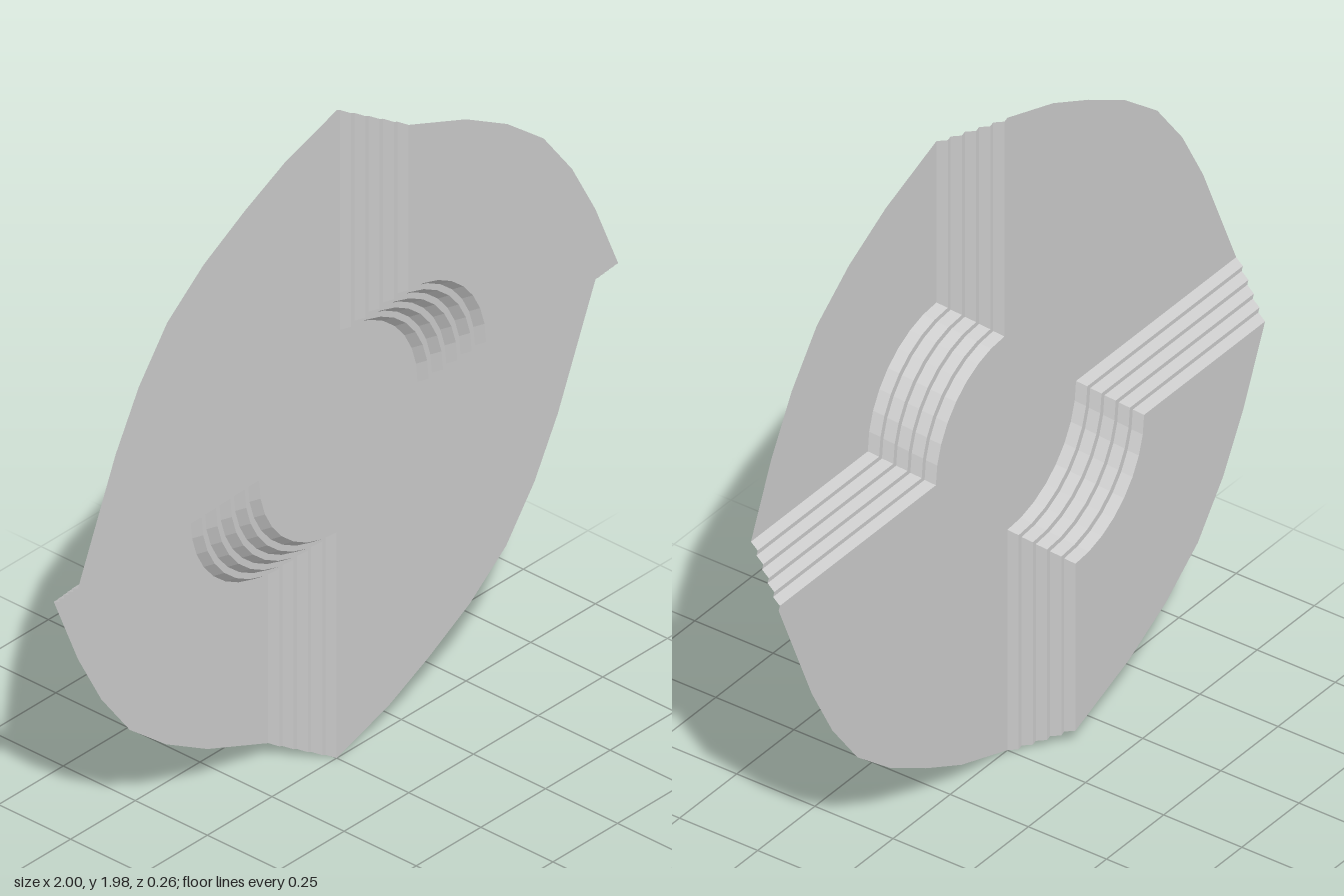
import * as THREE from 'three';

const CENTRE_Y = 0.995, STEPS = 5, PITCH = 0.0265, RISE = 0.026, RUN = 0.014;
const ARC_R = 0.3, ARC_SEGMENTS = 8;
const material = new THREE.MeshStandardMaterial({ color: 0xcccccc, flatShading: true, side: THREE.DoubleSide });

// Rim of one quarter, from beside the top point round to beside the side point
const rim = [[0.355, 0.85], [0.515, 0.76], [0.655, 0.65], [0.765, 0.505], [0.855, 0.34]];

// Keyhole-like edge of a quarter, shifted diagonally by s and ending on the rim
function edge(s) {
  const pts = [[s, 0.99 - 0.394 * s]];
  for (let i = 0; i <= ARC_SEGMENTS; i++) {
    const a = (Math.PI / 2) * (1 - i / ARC_SEGMENTS);
    pts.push([s + ARC_R * Math.cos(a), s + ARC_R * Math.sin(a)]);
  }
  pts.push([1 - 0.426 * s, s]);
  return pts;
}

const turn = (pts, sx, sy) => pts.map(([x, y]) => [x * sx, y * sy]);

// Flat sheet at depth z
function sheet(name, pts, z) {
  const shape = new THREE.Shape(pts.map(([x, y]) => new THREE.Vector2(x, y)));
  const mesh = new THREE.Mesh(new THREE.ShapeGeometry(shape), material);
  mesh.name = name;
  mesh.position.z = z;
  return mesh;
}

// Ribbon joining neighbouring edges of the staircase
function staircase(name, levels, sign) {
  const pos = [];
  for (let k = 0; k < levels.length - 1; k++) {
    const [a, b] = [levels[k], levels[k + 1]].map(([s, z]) =>
      edge(s).map(([x, y]) => [sign * x, sign * y, sign * z]));
    for (let i = 0; i < a.length - 1; i++) {
      pos.push(...a[i], ...a[i + 1], ...b[i + 1], ...a[i], ...b[i + 1], ...b[i]);
    }
  }
  const geo = new THREE.BufferGeometry();
  geo.setAttribute('position', new THREE.Float32BufferAttribute(pos, 3));
  geo.computeVertexNormals();
  const mesh = new THREE.Mesh(geo, material);
  mesh.name = name;
  return mesh;
}

// Alternating sloped risers and flat treads, as [shift, height]
function stairLevels(start) {
  const levels = [];
  for (let k = 0; k < STEPS; k++) {
    levels.push([start + k * PITCH, k * RISE], [start + k * PITCH + RUN, (k + 1) * RISE]);
  }
  return levels;
}

export function createModel() {
  const group = new THREE.Group();
  group.name = 'steppedDisc';
  const body = new THREE.Group();
  body.name = 'sheets';
  body.position.y = CENTRE_Y;
  group.add(body);

  const frontStart = PITCH - RUN, backStart = 0;
  const fullRim = [[0.2, 0.925], ...rim];

  // Middle sheet: two flat quarters joined through the centre
  body.add(sheet('middleSheet', [
    ...edge(frontStart), [1, 0],
    ...turn([...fullRim].reverse(), 1, -1),
    ...turn(edge(backStart), -1, -1),
    ...turn([...fullRim].reverse(), -1, 1), [0, 0.99],
  ], 0));

  // Raised front quarter and lowered back quarter with their stairs
  for (const [label, start, sign] of [['front', frontStart, 1], ['back', backStart, -1]]) {
    const levels = stairLevels(start);
    const [s, z] = levels[levels.length - 1];
    const outline = [...edge(s), ...[...rim].reverse()];
    body.add(staircase(label + 'Steps', levels, sign));
    body.add(sheet(label + 'Quarter', turn(outline, sign, sign), sign * z));
  }
  return group;
}
